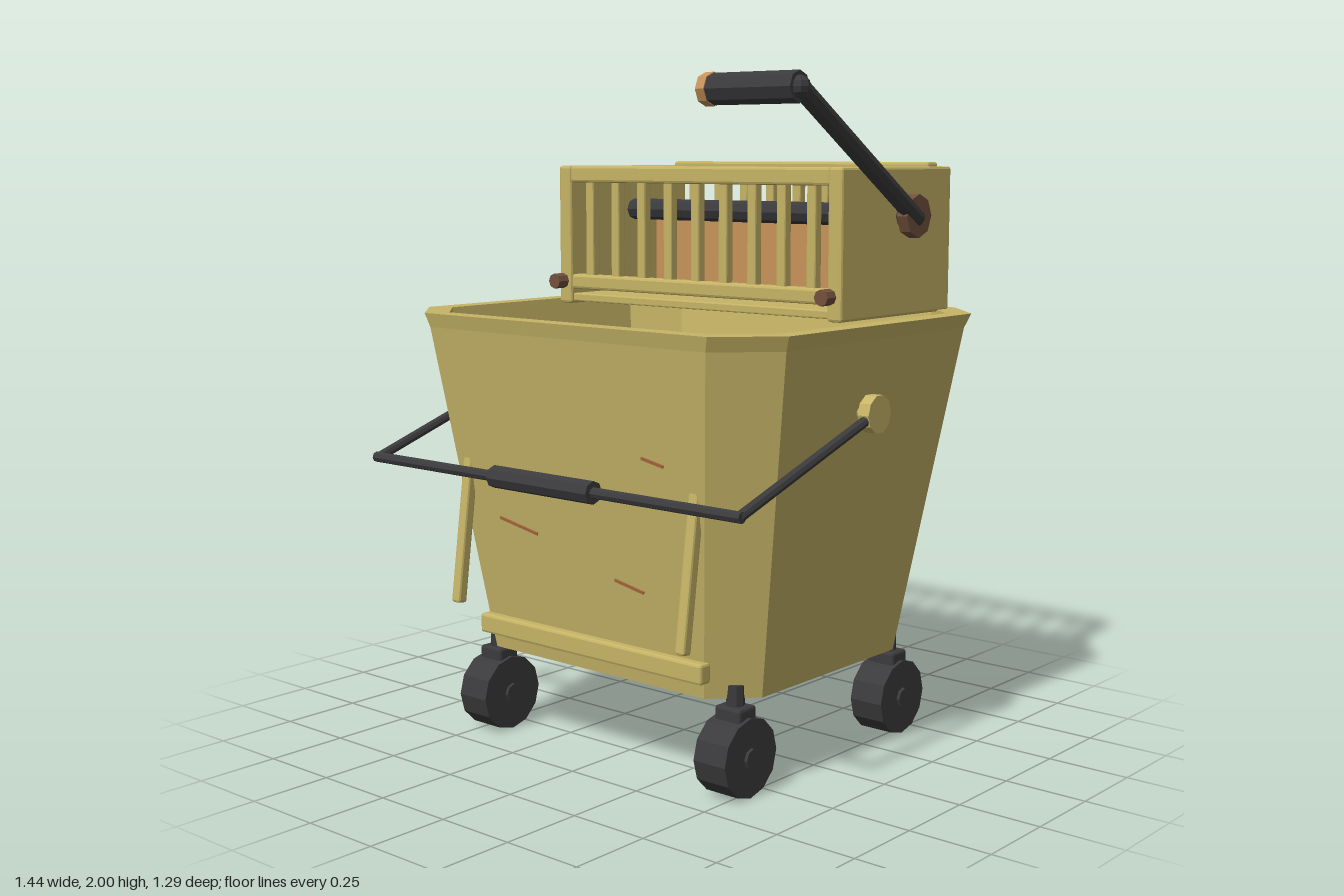
import * as THREE from 'three';
import { RoundedBoxGeometry } from 'three/addons/geometries/RoundedBoxGeometry.js';

const paint = (name, color) => Object.assign(new THREE.MeshStandardMaterial({ color }), { name });

export function createModel() {
  const model = new THREE.Group();
  model.name = 'mopBucket';
  const yellow = paint('yellow plastic', 0xc6b466);
  const black = paint('black rubber', 0x3b3b3d);
  const orange = paint('orange wood', 0xc8935a);
  const brown = paint('brown bolt', 0x73503c);
  const rust = paint('rust scratch', 0xa8683f);

  // Adds a faceted mesh
  const add = (parent, name, geometry, material) => {
    const flat = geometry.index ? geometry.toNonIndexed() : geometry;
    flat.computeVertexNormals();
    const mesh = new THREE.Mesh(flat, material);
    mesh.name = name;
    parent.add(mesh);
    return mesh;
  };

  // Box with chamfered edges, given by its min and max on each axis
  const block = (parent, name, [x0, x1], [y0, y1], [z0, z1], material, bevel = 0.008) => {
    const mesh = add(parent, name, new RoundedBoxGeometry(x1 - x0, y1 - y0, z1 - z0, 1, bevel), material);
    mesh.position.set((x0 + x1) / 2, (y0 + y1) / 2, (z0 + z1) / 2);
    return mesh;
  };

  // Straight cylinder between two points
  const rod = (parent, name, a, b, radius, material, sides = 8) => {
    const from = new THREE.Vector3(...a), to = new THREE.Vector3(...b);
    const dir = to.clone().sub(from);
    const mesh = add(parent, name, new THREE.CylinderGeometry(radius, radius, dir.length(), sides), material);
    mesh.position.copy(from).add(to).multiplyScalar(0.5);
    mesh.quaternion.setFromUnitVectors(new THREE.Vector3(0, 1, 0), dir.normalize());
    return mesh;
  };

  // Bucket: octagonal rings from the underside, up over the rim, down to the floor
  const ring = (y, x, front, back, c) => [
    [x, y, back + c], [x, y, front - c], [x - c, y, front], [c - x, y, front],
    [-x, y, front - c], [-x, y, back + c], [c - x, y, back], [x - c, y, back],
  ];
  const rings = [
    ring(0.28, 0.53, 0.4, -0.475, 0.115),
    ring(1.268, 0.685, 0.54, -0.628, 0.15),
    ring(1.31, 0.7, 0.55, -0.645, 0.152),
    ring(1.31, 0.635, 0.487, -0.58, 0.127),
    ring(0.33, 0.485, 0.35, -0.43, 0.095),
  ];
  const index = [];
  for (let i = 0; i < rings.length - 1; i++) {
    for (let j = 0; j < 8; j++) {
      const a = i * 8 + j, b = i * 8 + (j + 1) % 8;
      index.push(a, a + 8, b + 8, a, b + 8, b);
    }
  }
  const last = (rings.length - 1) * 8;
  for (let j = 1; j < 7; j++) index.push(0, j, j + 1, last, last + j + 1, last + j);
  const shell = new THREE.BufferGeometry();
  shell.setAttribute('position', new THREE.Float32BufferAttribute(rings.flat(2), 3));
  shell.setIndex(index);
  add(model, 'bucket', shell, yellow);

  // Scratches lying on the sloping front wall
  for (const [x, y, length] of [[-0.25, 0.69, 0.155], [0.175, 0.57, 0.11], [0.31, 0.947, 0.08]]) {
    const scratch = add(model, 'scratch', new THREE.BoxGeometry(length, 0.009, 0.006), rust);
    scratch.position.set(x, y, 0.4 + (y - 0.28) * 0.1417 + 0.001);
    scratch.rotation.set(0.14, 0, -0.2);
  }

  // Front kick bar and the two slanted struts through the front wall
  block(model, 'kickBar', [-0.44, 0.44], [0.33, 0.39], [0.4, 0.445], yellow);
  for (const s of [-1, 1]) {
    const strut = add(model, 'frontStrut', new RoundedBoxGeometry(0.034, 0.74, 0.034, 1, 0.007), yellow);
    strut.position.set(s * 0.445, 0.805, 0.477);
    strut.rotation.x = -0.135;
  }

  // Casters
  for (const x of [-0.475, 0.475]) {
    for (const z of [0.335, -0.415]) {
      const caster = new THREE.Group();
      caster.name = 'caster';
      caster.position.set(x, 0, z);
      model.add(caster);
      rod(caster, 'wheel', [-0.056, 0.117, 0], [0.056, 0.117, 0], 0.115, black, 12);
      rod(caster, 'hub', [-0.066, 0.117, 0], [0.066, 0.117, 0], 0.03, black);
      block(caster, 'fork', [-0.045, 0.045], [0.19, 0.26], [-0.038, 0.038], black);
      rod(caster, 'stem', [0, 0.24, 0], [0, 0.32, 0], 0.026, black);
    }
  }

  // Carrying handle
  const bail = new THREE.Group();
  bail.name = 'carryHandle';
  model.add(bail);
  for (const s of [-1, 1]) {
    rod(bail, 'pivotKnob', [s * 0.685, 1.065, 0.01], [s * 0.722, 1.065, 0.01], 0.055, yellow, 10);
    rod(bail, 'pivotPin', [s * 0.63, 1.065, 0.01], [s * 0.69, 1.065, 0.01], 0.014, yellow);
    rod(bail, 'handleArm', [s * 0.705, 1.065, 0.01], [s * 0.705, 0.865, 0.608], 0.015, black);
  }
  rod(bail, 'handleBar', [-0.715, 0.865, 0.608], [0.715, 0.865, 0.608], 0.016, black);
  rod(bail, 'handleGrip', [-0.195, 0.865, 0.608], [0.195, 0.865, 0.608], 0.033, black);

  // Wringer basket: floor, side panels, rails and slats
  const wringer = new THREE.Group();
  wringer.name = 'wringer';
  model.add(wringer);
  block(wringer, 'basketFloor', [-0.51, 0.51], [1.312, 1.337], [-0.585, -0.045], yellow, 0.004);
  for (const s of [-1, 1]) {
    const x = [s * 0.53 - 0.025, s * 0.53 + 0.025];
    block(wringer, 'sidePanel', x, [1.305, 1.742], [-0.597, -0.032], yellow);
    rod(wringer, 'bolt', [s * 0.525, 1.378, -0.018], [s * 0.525, 1.378, 0.024], 0.024, brown);
  }
  for (const [z, lift] of [[-0.062, 0], [-0.568, 0.013]]) {
    block(wringer, 'topRail', [-0.508, 0.508], [1.69 + lift, 1.742 + lift], [z - 0.028, z + 0.028], yellow);
    block(wringer, 'bottomRail', [-0.51, 0.51], [1.352, 1.398], [z - 0.024, z + 0.024], yellow);
    for (let i = -4; i <= 4; i++) {
      const x = i * 0.109;
      block(wringer, 'slat', [x - 0.016, x + 0.016], [1.37, 1.71], [z - 0.016, z + 0.016], yellow, 0.005);
    }
  }

  // Press plate on its shaft
  block(wringer, 'pressPlate', [-0.43, 0.428], [1.34, 1.615], [-0.41, -0.355], orange);
  rod(wringer, 'shaft', [-0.6, 1.6, -0.335], [0.6, 1.6, -0.335], 0.034, black);
  for (const s of [-1, 1]) {
    rod(wringer, 'shaftNut', [s * 0.578, 1.6, -0.335], [s * 0.614, 1.6, -0.335], 0.064, brown);
  }

  // Crank arm and grip
  const crank = new THREE.Group();
  crank.name = 'crank';
  model.add(crank);
  rod(crank, 'crankArm', [0.6, 1.59, -0.345], [0.612, 1.955, 0.245], 0.027, black);
  rod(crank, 'crankGrip', [0.31, 1.955, 0.245], [0.612, 1.955, 0.245], 0.044, black);
  rod(crank, 'crankTip', [0.288, 1.955, 0.245], [0.318, 1.955, 0.245], 0.047, orange);
  add(crank, 'crankElbow', new THREE.SphereGeometry(0.032, 8, 6), black).position.set(0.61, 1.955, 0.245);

  return model;
}
